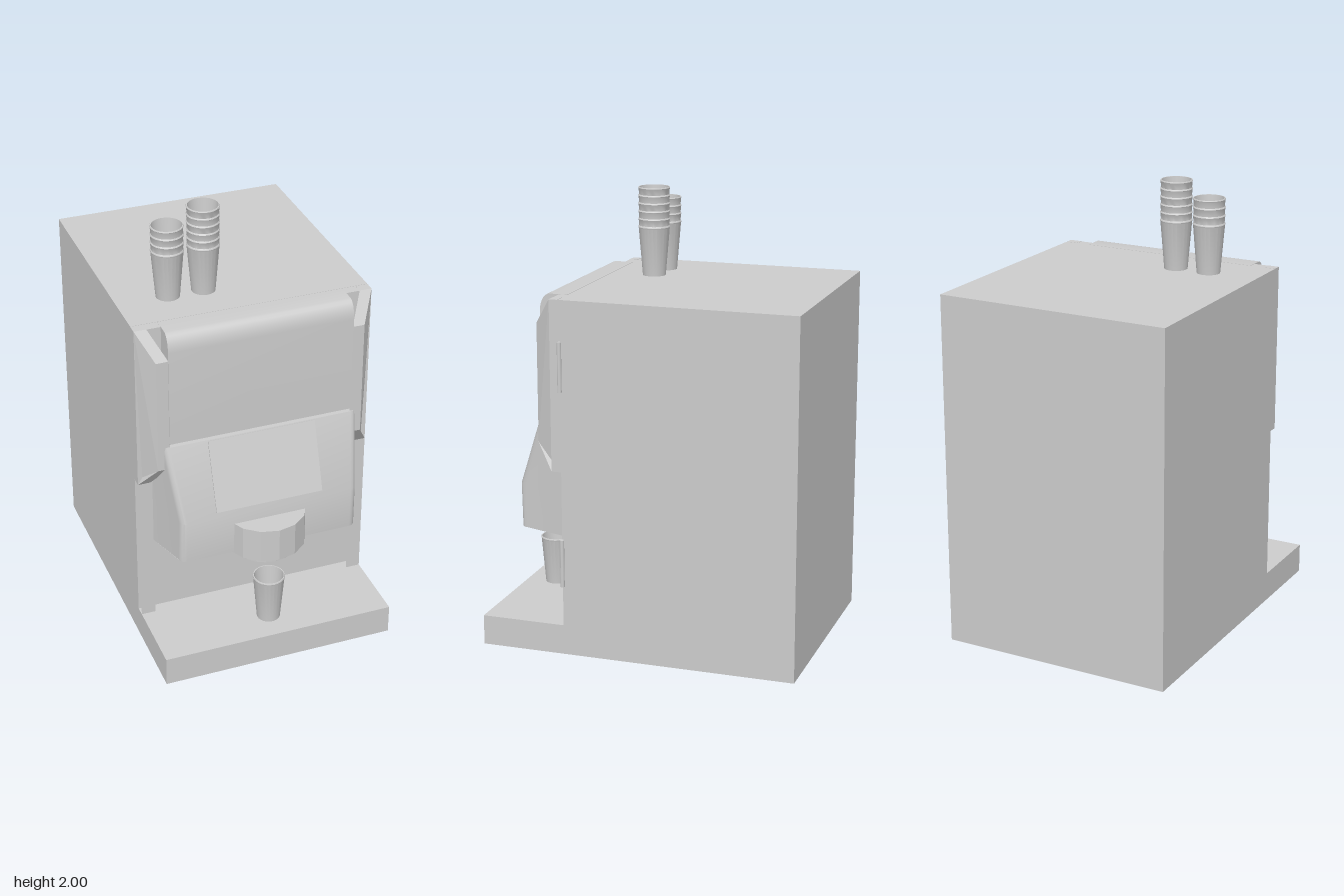
import * as THREE from 'three';
import { toCreasedNormals } from 'three/addons/utils/BufferGeometryUtils.js';

const grey = new THREE.MeshStandardMaterial({ color: 0xcccccc });
const flat = new THREE.MeshStandardMaterial({ color: 0xcccccc, flatShading: true });
const thin = new THREE.MeshStandardMaterial({ color: 0xcccccc, side: THREE.DoubleSide });

export function createModel() {
  const model = new THREE.Group();
  model.name = 'coffeeMachine';
  const machine = new THREE.Group();
  machine.name = 'machine';
  machine.position.x = -0.0125;
  model.add(machine);

  function add(name, geometry, material = grey) {
    const mesh = new THREE.Mesh(geometry, material);
    mesh.name = name;
    machine.add(mesh);
    return mesh;
  }
  // Box given by its half width and its y and z ranges
  function block(name, half, y0, y1, z0, z1) {
    add(name, new THREE.BoxGeometry(half * 2, y1 - y0, z1 - z0))
      .position.set(0, (y0 + y1) / 2, (z0 + z1) / 2);
  }
  function cylinder(name, r, y0, y1, x, z, sides, material = grey) {
    add(name, new THREE.CylinderGeometry(r, r, y1 - y0, sides), material)
      .position.set(x, (y0 + y1) / 2, z);
  }
  // Side profile of [z, y] points, extruded from x = right towards -x
  function sideExtrude(points, right, width) {
    const shape = new THREE.Shape(points.map(([z, y]) => new THREE.Vector2(z, y)));
    const g = new THREE.ExtrudeGeometry(shape, { depth: width, bevelEnabled: false });
    return g.rotateY(-Math.PI / 2).translate(right, 0, 0);
  }

  // Cabinet and base
  const half = 0.5325;
  block('cabinet', half, 0, 1.6, -0.72, 0.335);
  block('doorFrame', half, 0.84, 1.599, 0.335, 0.38);
  block('base', half, 0, 0.135, 0.335, 0.72);

  // Upper door panel with a rounded top edge
  const profile = [[0.34, 1.075], [0.47, 1.075]];
  for (let i = 0; i <= 6; i++) {
    const a = (i / 6) * Math.PI / 2;
    profile.push([0.425 + 0.045 * Math.cos(a), 1.52 + 0.08 * Math.sin(a)]);
  }
  profile.push([0.34, 1.6]);
  add('doorPanel', toCreasedNormals(sideExtrude(profile, 0.415, 0.83), 0.6));

  // Bevelled door wings and flat front pillars on both sides
  const wing = sideExtrude([[0.34, 0.84], [0.38, 0.84], [0.465, 0.95], [0.465, 1.48],
    [0.38, 1.6], [0.34, 1.6]], half, 0.055);
  const p = wing.attributes.position;
  for (let i = 0; i < p.count; i++) {
    p.setX(i, p.getX(i) - Math.max(0, p.getZ(i) - 0.38) * 0.065 / 0.085);
  }
  wing.computeVertexNormals();
  for (const side of [1, -1]) {
    const name = side > 0 ? 'left' : 'right';
    add(name + 'DoorWing', wing, flat).scale.x = side;
    add(name + 'Pillar', new THREE.PlaneGeometry(0.065, 0.705))
      .position.set(side * 0.5, 0.4875, 0.38);
  }

  // Dispenser head: stacked outlines with rounded front corners
  add('dispenserHead', headGeometry());

  // Screen lying on the slope of the head
  const screen = add('screen', new THREE.BoxGeometry(0.49, 0.32, 0.008));
  screen.position.set(0, 0.905, 0.525);
  screen.rotation.x = -Math.atan2(0.115, 0.33);

  // Spout
  cylinder('spoutHousing', 0.183, 0.525, 0.68, 0, 0.515, 14, flat);
  cylinder('spoutCollar', 0.14, 0.49, 0.53, 0, 0.52, 20, flat);
  cylinder('nozzle', 0.014, 0.465, 0.49, 0, 0.58, 12);

  // Door hinges
  for (const [y0, y1] of [[0.32, 0.535], [1.2, 1.42]]) {
    cylinder('hinge', 0.0095, y0, y1, 0.5435, 0.332, 12);
  }

  // Cups: one under the spout, two stacks on top
  add('cup', cupGeometry(0.225)).position.set(0, 0.135, 0.58);
  add('shortCupStack', cupGeometry(0.335)).position.set(-0.302, 1.6, 0.14);
  add('tallCupStack', cupGeometry(0.4)).position.set(-0.142, 1.6, 0.14);
  machine.traverse((o) => { if (/cup/i.test(o.name)) o.material = thin; });

  return model;
}

// Head outline narrows towards the front; each row is [y, front z]
function headGeometry() {
  const width = (z) => 0.465 - (z - 0.38) * 0.32;
  const rows = [[0.53, 0.58], [0.73, 0.585], [1.06, 0.47]];
  const pos = [];
  const index = [];
  const c = 0.03;
  for (const [y, zf] of rows) {
    const left = [[-width(0.335), 0.335]];
    for (let i = 0; i <= 4; i++) {
      const a = (i / 4) * Math.PI / 2;
      left.push([-width(zf - c) + c * (1 - Math.cos(a)), zf - c + c * Math.sin(a)]);
    }
    const ring = [...left, ...left.map(([x, z]) => [-x, z]).reverse()];
    ring.forEach(([x, z]) => pos.push(x, y, z));
  }
  const n = pos.length / 9;
  for (let r = 0; r < 2; r++) {
    for (let i = 0; i < n; i++) {
      const a = r * n + i;
      const b = r * n + (i + 1) % n;
      index.push(a, b, b + n, a, b + n, a + n);
    }
  }
  for (let i = 1; i < n - 1; i++) {
    index.push(0, i + 1, i, 2 * n, 2 * n + i, 2 * n + i + 1);
  }
  const g = new THREE.BufferGeometry();
  g.setAttribute('position', new THREE.Float32BufferAttribute(pos, 3));
  g.setIndex(index);
  return toCreasedNormals(g, 0.5);
}

// Tapered open cup; extra height becomes the rims of nested cups
function cupGeometry(height) {
  const pts = [[0, 0.001], [0.052, 0.001], [0.07, 0.215], [0.072, 0.22], [0.07, 0.225]];
  const rims = Math.round((height - 0.225) / 0.035);
  const step = rims ? (height - 0.225) / rims : 0;
  for (let i = 0; i < rims; i++) {
    const y = 0.225 + i * step;
    pts.push([0.068, y + 0.002], [0.07, y + step - 0.008], [0.072, y + step - 0.004], [0.07, y + step]);
  }
  pts.push([0.066, height], [0.048, height - 0.21], [0, height - 0.21]);
  const g = new THREE.LatheGeometry(pts.map(([x, y]) => new THREE.Vector2(x, y)), 24);
  return toCreasedNormals(g, 0.5);
}
